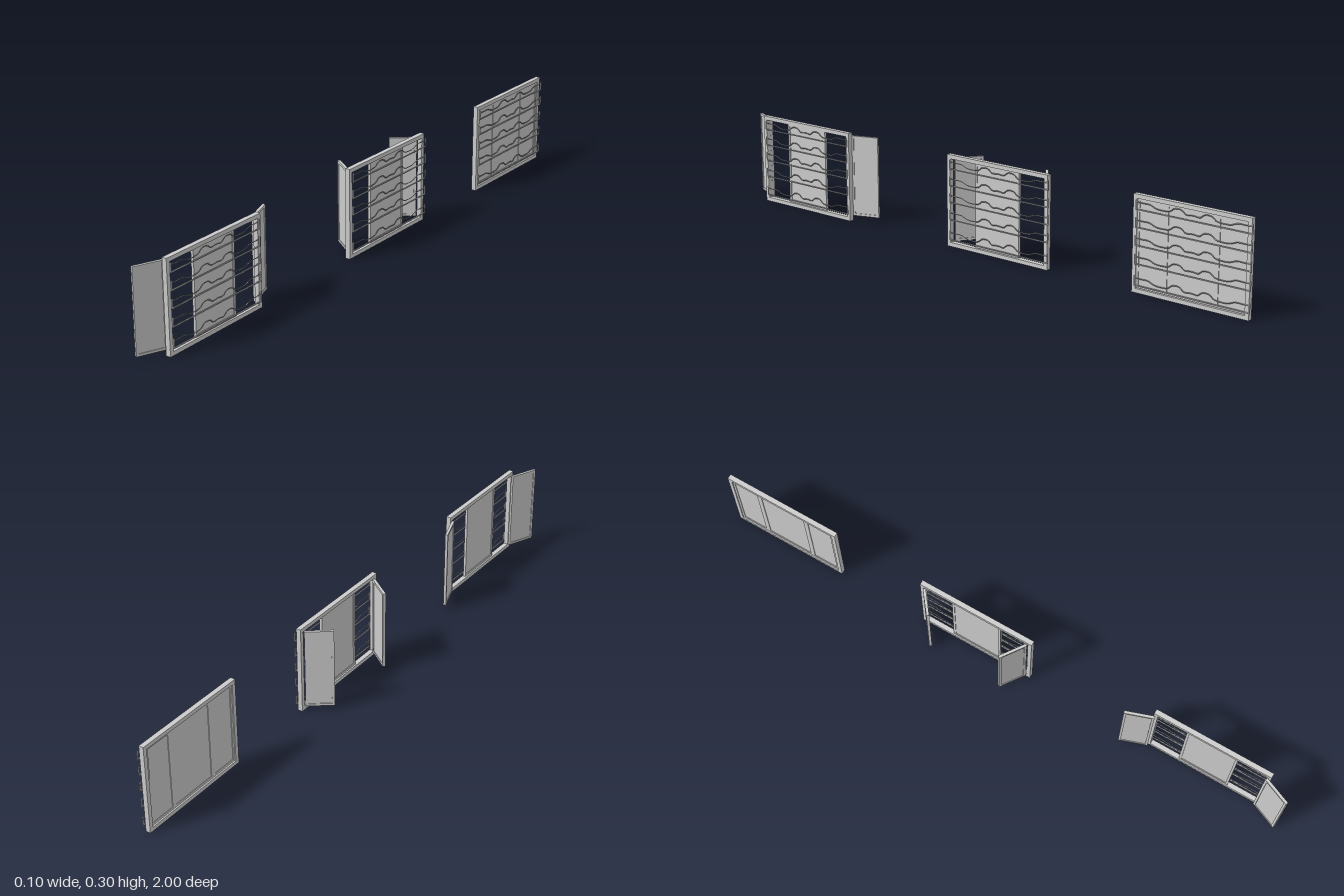
import * as THREE from 'three';

const material = new THREE.MeshStandardMaterial({ color: 0xcccccc, flatShading: true });

function add(parent, name, geometry, x = 0, y = 0, z = 0) {
  const mesh = new THREE.Mesh(geometry, material);
  mesh.name = name;
  mesh.position.set(x, y, z);
  parent.add(mesh);
  return mesh;
}

// Rectangular border in the YZ plane, centred on its group's origin
function border(parent, name, width, height, depth, rim) {
  for (const s of [-1, 1]) {
    add(parent, name + 'Stile', new THREE.BoxGeometry(depth, height, rim), 0, 0, s * (width - rim) / 2);
    add(parent, name + 'Rail', new THREE.BoxGeometry(depth, rim, width - 2 * rim), 0, s * (height - rim) / 2, 0);
  }
}

// Framed board standing between two [x, z] points
function framedPanel(parent, name, a, b) {
  const dx = b[0] - a[0], dz = b[1] - a[1];
  const width = Math.hypot(dx, dz);
  const group = new THREE.Group();
  group.name = name;
  group.position.set((a[0] + b[0]) / 2, 0.15, (a[1] + b[1]) / 2);
  group.rotation.y = Math.atan2(dx, dz);
  border(group, name, width, 0.27, 0.009, 0.008);
  add(group, name + 'Board', new THREE.BoxGeometry(0.005, 0.256, width - 0.014));
  parent.add(group);
}

// Half of the wavy bar, from the end towards the middle: [distance from middle, height 0..1]
const WAVE = [[1, 0.85], [0.9, 0.8], [0.76, 0.8], [0.64, 0.5], [0.52, 0.45], [0.4, 0.55],
  [0.32, 0.95], [0.2, 0.95], [0.12, 0.55], [0.03, 0.6]];

// Grille row: wavy upper bar, straight lower bar and upright ends
function grilleRow(parent, yLow, yHigh, zStart, zEnd) {
  const x = 0.0485, r = 0.0016;
  const mid = (zStart + zEnd) / 2, half = (zStart - zEnd) / 2 - r;
  const h = yHigh - yLow - 2 * r;
  const at = ([d, t], s) => new THREE.Vector3(x, yLow + r + t * h, mid + s * d * half);
  const points = [...WAVE.map(p => at(p, 1)), ...WAVE.slice().reverse().map(p => at(p, -1))];
  const curve = new THREE.CatmullRomCurve3(points, false, 'centripetal');
  add(parent, 'wavyGrilleBar', new THREE.TubeGeometry(curve, 64, r, 4));
  add(parent, 'straightGrilleBar', new THREE.BoxGeometry(2 * r, 2 * r, 2 * half), x, yLow + r, mid);
  for (const s of [-1, 1]) {
    add(parent, 'grilleEnd', new THREE.BoxGeometry(2 * r, h + 2 * r, 2 * r), x, yLow + r + h / 2, mid + s * half);
  }
}

const ROWS = [[0.022, 0.053], [0.087, 0.117], [0.143, 0.173], [0.197, 0.227], [0.251, 0.281]];

// Frame middle, grille ends, and the two shutters as hinge and free edge [x, z]
const WINDOWS = [
  { name: 'wideOpenWindow', z: 0.726, grille: [0.912, 0.535],
    shutters: [[[0.024, 0.91], [-0.013, 0.998]], [[0.023, 0.535], [-0.008, 0.447]]] },
  { name: 'halfOpenWindow', z: -0.092, grille: [0.093, -0.295],
    shutters: [[[0.028, 0.088], [-0.048, 0.036]], [[0.028, -0.274], [-0.042, -0.219]]] },
  { name: 'closedWindow', z: -0.797, grille: [-0.61, -1.0],
    shutters: [[[0.0375, -0.612], [0.0375, -0.711]], [[0.0375, -0.982], [0.0375, -0.883]]] },
];

export function createModel() {
  const model = new THREE.Group();
  model.name = 'shutterWindows';
  for (const spec of WINDOWS) {
    const win = new THREE.Group();
    win.name = spec.name;

    // Outer frame
    const frame = new THREE.Group();
    frame.name = 'outerFrame';
    frame.position.set(0.0375, 0.1485, spec.z);
    border(frame, 'frame', 0.395, 0.297, 0.016, 0.013);
    win.add(frame);

    // Fixed middle panel and side shutters
    framedPanel(win, 'middlePanel', [0.0375, spec.z + 0.086], [0.0375, spec.z - 0.086]);
    for (const [hinge, edge] of spec.shutters) framedPanel(win, 'shutter', hinge, edge);

    // Grille
    for (const [low, high] of ROWS) grilleRow(win, low, high, ...spec.grille);
    model.add(win);
  }
  return model;
}
